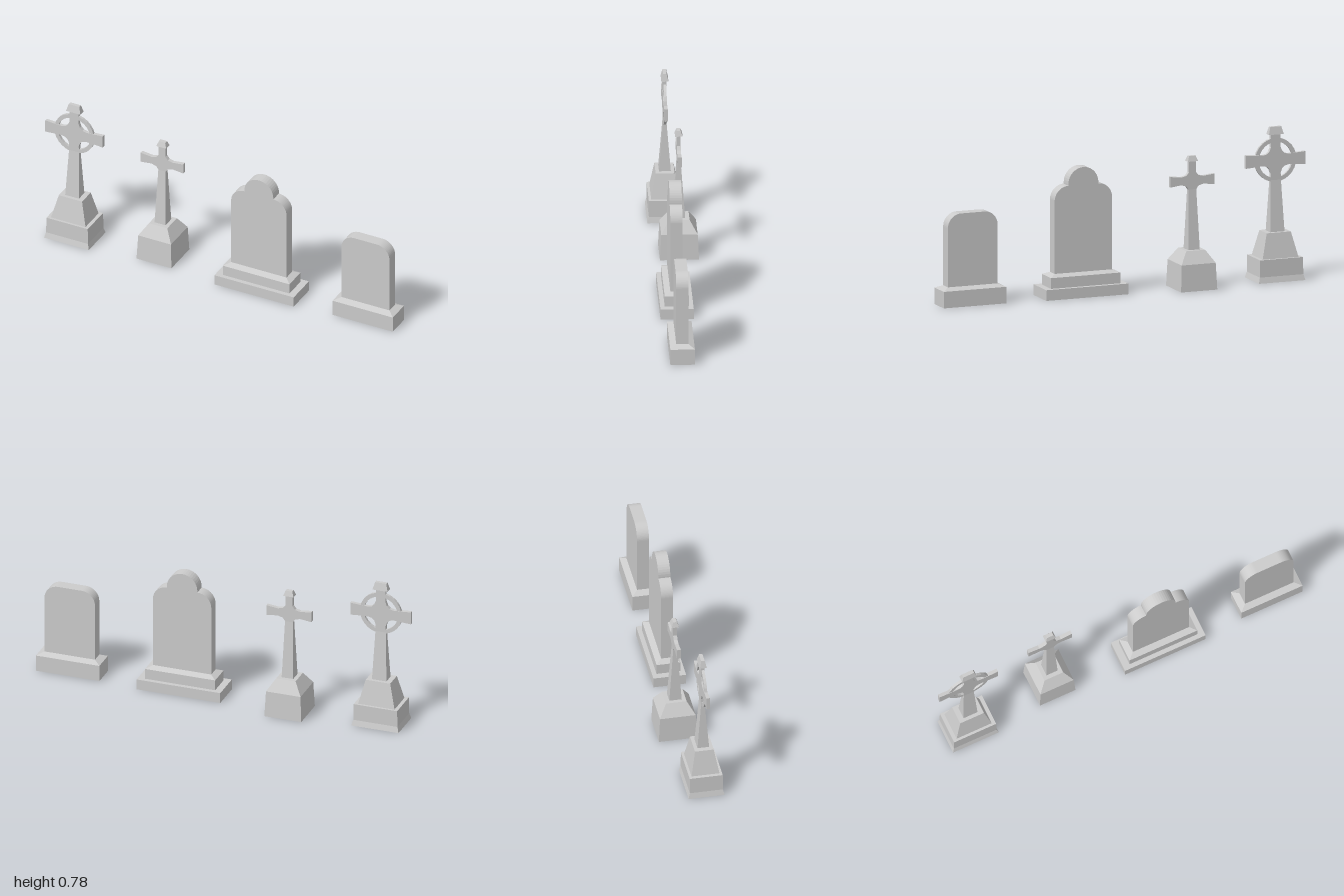
import * as THREE from 'three';

const stone = new THREE.MeshStandardMaterial({ color: 0xcccccc, flatShading: true, side: THREE.DoubleSide });
const smoothStone = new THREE.MeshStandardMaterial({ color: 0xcccccc, side: THREE.DoubleSide });

function add(parent, name, geometry, material = stone) {
  const mesh = new THREE.Mesh(geometry, material);
  mesh.name = name;
  parent.add(mesh);
  return mesh;
}

function monument(parent, name, x, z) {
  const group = new THREE.Group();
  group.name = name;
  group.position.set(x, 0, z);
  parent.add(group);
  return group;
}

// Rectangular shell through rings of [y, half width, half depth], open below
function loft(rings, capTop = false) {
  const pos = [];
  const signs = [[1, 1], [1, -1], [-1, -1], [-1, 1]];
  const corner = ([y, hx, hz], i) => [signs[i % 4][0] * hx, y, signs[i % 4][1] * hz];
  const quad = (a, b, c, d) => pos.push(...a, ...b, ...c, ...a, ...c, ...d);
  for (let r = 0; r < rings.length - 1; r++) {
    for (let i = 0; i < 4; i++) {
      quad(corner(rings[r], i), corner(rings[r], i + 1), corner(rings[r + 1], i + 1), corner(rings[r + 1], i));
    }
  }
  if (capTop) quad(...[0, 1, 2, 3].map((i) => corner(rings[rings.length - 1], i)));
  const g = new THREE.BufferGeometry();
  g.setAttribute('position', new THREE.Float32BufferAttribute(pos, 3));
  g.computeVertexNormals();
  return g;
}

// Slab of a shape, centred in depth
function slab(shape, depth, curveSegments = 12) {
  const g = new THREE.ExtrudeGeometry(shape, { depth, bevelEnabled: false, curveSegments });
  return g.translate(0, 0, -depth / 2);
}

// Symmetric outline from the points of its +x half, listed upwards
function mirrored(points) {
  const left = points.map(([x, y]) => [-x, y]).reverse();
  return new THREE.Shape([...points, ...left].map(([x, y]) => new THREE.Vector2(x, y)));
}

function addCap(group, y0, y1, wide, deep, topWide, topDeep) {
  add(group, 'cap', loft([[y0, 0.01, 0.005], [y0, wide, deep], [y1, topWide, topDeep]], true));
}

function ringedCross(parent) {
  const g = monument(parent, 'ringedCross', -0.837, 0.028);
  add(g, 'steppedBase', loft([
    [0, 0.127, 0.093], [0.03, 0.119, 0.085], [0.118, 0.117, 0.085],
    [0.118, 0.098, 0.072], [0.247, 0.066, 0.048], [0.247, 0.039, 0.03],
  ]));
  add(g, 'shaft', loft([[0.247, 0.039, 0.03], [0.51, 0.028, 0.009]]));
  add(g, 'crossHead', slab(mirrored([
    [0.028, 0.51], [0.027, 0.545], [0.034, 0.566], [0.048, 0.58], [0.07, 0.585],
    [0.105, 0.583], [0.163, 0.579], [0.163, 0.646], [0.105, 0.642],
    [0.07, 0.64], [0.048, 0.645], [0.034, 0.659], [0.026, 0.68], [0.026, 0.746],
  ]), 0.018));
  // Ring joining the arms
  const ring = new THREE.Shape().absarc(0, 0, 0.113, 0, Math.PI * 2);
  ring.holes.push(new THREE.Path().absarc(0, 0, 0.092, 0, Math.PI * 2, true));
  add(g, 'ring', slab(ring, 0.014, 14), smoothStone).position.y = 0.613;
  addCap(g, 0.745, 0.784, 0.041, 0.018, 0.03, 0.009);
}

function plainCross(parent) {
  const g = monument(parent, 'plainCross', -0.361, -0.019);
  add(g, 'base', loft([[0, 0.099, 0.099], [0.137, 0.093, 0.092], [0.2, 0.052, 0.053], [0.2, 0.031, 0.032]]));
  add(g, 'shaft', loft([[0.2, 0.031, 0.032], [0.507, 0.021, 0.01]]));
  add(g, 'crossHead', slab(mirrored([
    [0.021, 0.507], [0.033, 0.524], [0.06, 0.532], [0.121, 0.525],
    [0.121, 0.579], [0.06, 0.572], [0.033, 0.578], [0.019, 0.596], [0.019, 0.653],
  ]), 0.02));
  addCap(g, 0.652, 0.679, 0.028, 0.019, 0.018, 0.01);
}

function archedHeadstone(parent) {
  const g = monument(parent, 'archedHeadstone', 0.224, 0.029);
  add(g, 'steppedPlinth', loft([
    [0, 0.225, 0.084], [0.055, 0.225, 0.084], [0.055, 0.189, 0.061],
    [0.11, 0.189, 0.061], [0.124, 0.157, 0.031],
  ]));
  // Quarter-round shoulders with a round crown
  const s = new THREE.Shape();
  s.moveTo(-0.157, 0.122);
  s.lineTo(0.157, 0.122);
  s.lineTo(0.157, 0.5);
  s.absarc(0.082, 0.497, 0.075, 0, Math.PI / 2);
  s.absarc(0, 0.58, 0.082, 0, Math.PI);
  s.absarc(-0.082, 0.497, 0.075, Math.PI / 2, Math.PI);
  add(g, 'tablet', slab(s, 0.062, 10), smoothStone);
}

function roundedHeadstone(parent) {
  const g = monument(parent, 'roundedHeadstone', 0.829, 0.029);
  add(g, 'plinth', loft([[0, 0.171, 0.062], [0.085, 0.171, 0.062], [0.1, 0.136, 0.031]]));
  const s = new THREE.Shape();
  s.moveTo(-0.136, 0.098);
  s.lineTo(0.136, 0.098);
  s.absarc(0.064, 0.403, 0.072, 0, Math.PI / 2);
  s.absarc(-0.064, 0.403, 0.072, Math.PI / 2, Math.PI);
  add(g, 'tablet', slab(s, 0.062, 8), smoothStone);
}

export function createModel() {
  const model = new THREE.Group();
  model.name = 'gravestones';
  ringedCross(model);
  plainCross(model);
  archedHeadstone(model);
  roundedHeadstone(model);
  return model;
}
